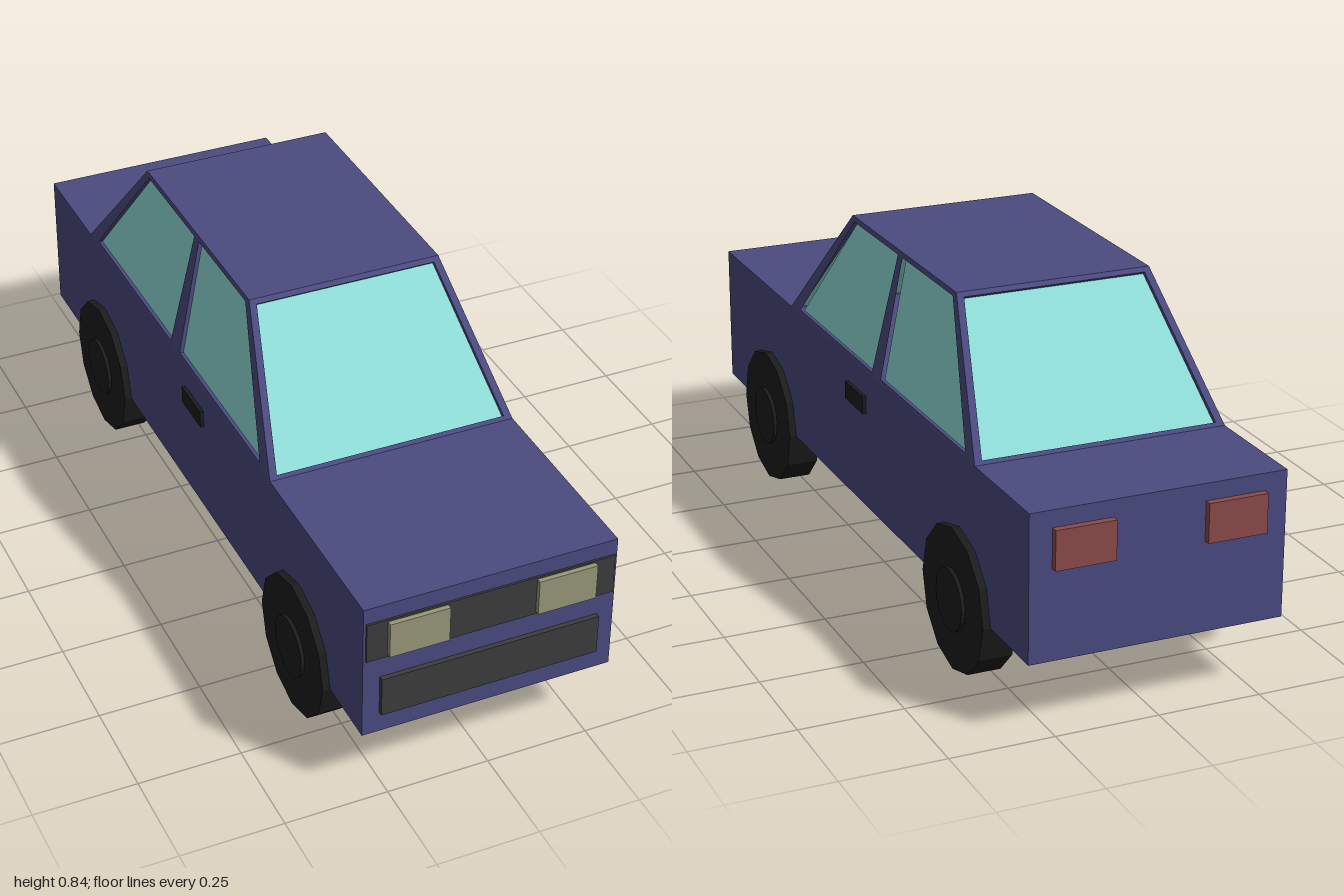
import * as THREE from 'three';

const mat = (color, extra = {}) => new THREE.MeshStandardMaterial({ color, flatShading: true, ...extra });

export function createModel() {
  const car = new THREE.Group();
  car.name = 'car';

  const paint = mat(0x4a4a80);
  const glass = mat(0x8fdcd8, { side: THREE.DoubleSide });
  const rubber = mat(0x1c1c1c);
  const trim = mat(0x3c3c3c);
  const headlamp = mat(0x98987a);
  const tailLamp = mat(0x8c4a4a);

  const add = (name, geometry, material, parent = car) => {
    const mesh = new THREE.Mesh(geometry, material);
    mesh.name = name;
    parent.add(mesh);
    return mesh;
  };
  // Box given by its extents on each axis
  const block = (name, [x0, x1], [y0, y1], [z0, z1], material) => {
    const mesh = add(name, new THREE.BoxGeometry(x1 - x0, y1 - y0, z1 - z0), material);
    mesh.position.set((x0 + x1) / 2, (y0 + y1) / 2, (z0 + z1) / 2);
  };

  // Lower body
  block('body', [-0.308, 0.308], [0.173, 0.525], [-0.983, 0.983], paint);

  // Cabin dimensions
  const yBase = 0.525, yTop = 0.835;
  const wBase = 0.308, wTop = 0.24;
  const zFront = [0.48, 0.207], zBack = [-0.697, -0.437];

  block('roof', [-wTop, wTop], [yTop - 0.014, yTop], [zBack[1], zFront[1]], paint);

  // Sloping cabin wall with recessed windows; points are [sideways, height]
  const wall = (name, across, base, top, outline, windows) => {
    const up = top.clone().sub(base);
    const stretch = up.length() / (yTop - yBase);
    up.normalize();
    const out = across.clone().cross(up);
    const group = new THREE.Group();
    group.name = name;
    group.applyMatrix4(new THREE.Matrix4().makeBasis(across, up, out).setPosition(base));
    const flat = (pts) => pts.map(([a, y]) => new THREE.Vector2(a, (y - yBase) * stretch));
    const shape = new THREE.Shape(flat(outline));
    windows.forEach((w) => shape.holes.push(new THREE.Path(flat(w))));
    const frame = new THREE.ExtrudeGeometry(shape, { depth: 0.014, bevelEnabled: false });
    add(name + 'Frame', frame.translate(0, 0, -0.014), paint, group);
    windows.forEach((w) => {
      const pane = new THREE.ShapeGeometry(new THREE.Shape(flat(w)));
      add(name + 'Glass', pane.translate(0, 0, -0.01), glass, group);
    });
    car.add(group);
  };

  // Windshield and rear window
  const endOutline = [[-wBase, yBase], [wBase, yBase], [wTop, yTop], [-wTop, yTop]];
  const endWindow = [[-0.288, 0.533], [0.288, 0.533], [0.225, 0.825], [-0.225, 0.825]];
  for (const [name, dir, z] of [['windshield', 1, zFront], ['rearWindow', -1, zBack]]) {
    wall(name, new THREE.Vector3(dir, 0, 0), new THREE.Vector3(0, yBase, z[0]),
      new THREE.Vector3(0, yTop, z[1]), endOutline, [endWindow]);
  }

  // Side walls with front and rear door windows, given as [z, height]
  const sideOutline = [[zBack[0], yBase], [zFront[0], yBase], [zFront[1], yTop], [zBack[1], yTop]];
  const sideWindows = [
    [[-0.078, 0.535], [0.415, 0.535], [0.19, 0.823], [-0.094, 0.823]],
    [[-0.64, 0.535], [-0.136, 0.535], [-0.122, 0.823], [-0.422, 0.823]],
  ];
  for (const [side, s] of [['left', 1], ['right', -1]]) {
    const turn = (pts) => pts.map(([z, y]) => [-s * z, y]);
    wall(side + 'Side', new THREE.Vector3(0, 0, -s), new THREE.Vector3(s * wBase, yBase, 0),
      new THREE.Vector3(s * wTop, yTop, 0), turn(sideOutline), sideWindows.map(turn));
  }

  // Grille and front bumper plate
  block('grille', [-0.302, 0.302], [0.383, 0.485], [0.97, 0.988], trim);
  block('lowerGrille', [-0.267, 0.267], [0.227, 0.328], [0.97, 0.995], trim);

  // Lamps, door handles and wheels on both sides
  const span = (s, a, b) => (s > 0 ? [a, b] : [-b, -a]);
  for (const [side, s] of [['left', 1], ['right', -1]]) {
    block(side + 'Headlamp', span(s, 0.108, 0.252), [0.39, 0.48], [0.97, 1], headlamp);
    block(side + 'TailLamp', span(s, 0.11, 0.254), [0.39, 0.484], [-1, -0.97], tailLamp);
    block(side + 'DoorHandle', span(s, 0.3, 0.317), [0.416, 0.461], [-0.042, 0.076], rubber);

    for (const [end, z] of [['Front', 0.64], ['Rear', -0.61]]) {
      const wheel = new THREE.Group();
      wheel.name = side + end + 'Wheel';
      wheel.position.set(0, 0.174, z);
      const disc = (name, r, x0, x1, sides) => {
        const geometry = new THREE.CylinderGeometry(r, r, x1 - x0, sides).rotateZ(Math.PI / 2);
        add(name, geometry, rubber, wheel).position.x = s * (x0 + x1) / 2;
      };
      disc('tyre', 0.174, 0.245, 0.326, 12);
      disc('hub', 0.075, 0.3, 0.335, 16);
      car.add(wheel);
    }
  }
  return car;
}
